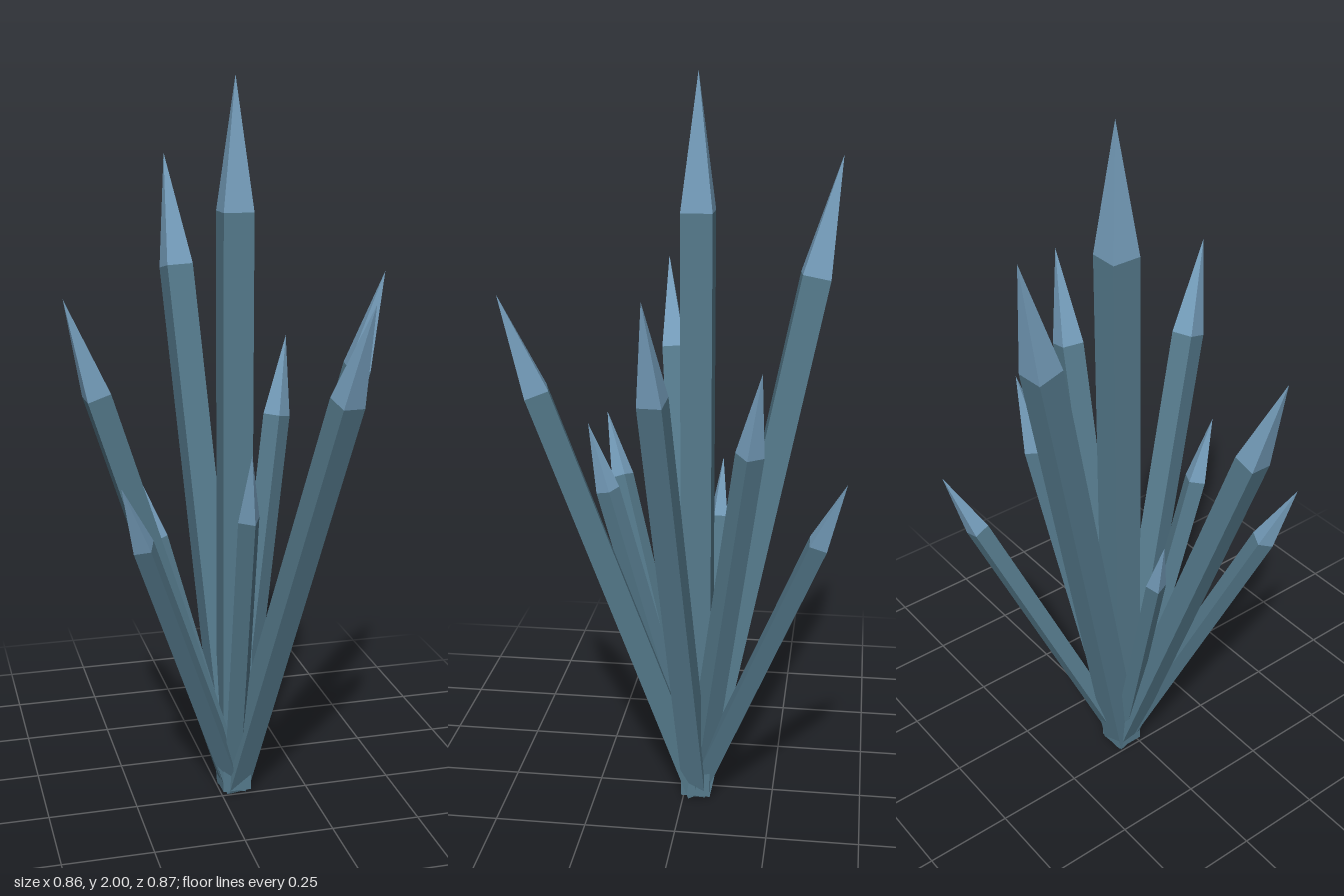
import * as THREE from 'three';

// All crystals grow from one root point and share the same proportions
const ROOT = new THREE.Vector3(0.043, 0.01, -0.036);
const WIDTH = 0.0412;   // side of the square section per unit of length
const SHAFT = 0.827;    // share of the length taken by the shaft

// Tip position of each crystal and its twist about its own axis (degrees)
const CRYSTALS = [
  ['centralCrystal', 0.043, 2.0, -0.036, 0],
  ['tallBackCrystal', -0.07, 1.79, -0.395, 6],
  ['lowBackLeftCrystal', 0.29, 1.03, -0.437, 5],
  ['leftCrystal', 0.43, 1.5, 0.05, -8],
  ['frontLeftCrystal', 0.265, 1.475, 0.435, 16],
  ['frontRightCrystal', -0.325, 1.02, 0.275, -22],
  ['rightCrystal', -0.432, 1.465, 0.105, 4],
  ['shortRightCrystal', -0.208, 0.93, -0.08, 20],
  ['backLeftCrystal', 0.24, 1.29, -0.22, 40],
  ['shortFrontCrystal', 0.01, 1.08, 0.265, -28],
];

export function createModel() {
  const group = new THREE.Group();
  group.name = 'crystalCluster';
  const shaftMat = new THREE.MeshStandardMaterial({ color: 0x557a8c });
  shaftMat.name = 'deep slate blue';
  const tipMat = new THREE.MeshStandardMaterial({ color: 0x769fbd });
  tipMat.name = 'pale slate blue';

  // Unit-length crystal: square prism with a four-sided point
  const shaftGeo = new THREE.BoxGeometry(WIDTH, SHAFT, WIDTH).translate(0, SHAFT / 2, 0);
  const tipLength = 1 - SHAFT;
  const tipGeo = new THREE.ConeGeometry(WIDTH * Math.SQRT1_2, tipLength, 4, 1, true, Math.PI / 4)
    .translate(0, SHAFT + tipLength / 2, 0)
    .toNonIndexed();
  tipGeo.computeVertexNormals(); // hard facets

  const up = new THREE.Vector3(0, 1, 0);
  for (const [name, x, y, z, twist] of CRYSTALS) {
    const axis = new THREE.Vector3(x, y, z).sub(ROOT);
    const length = axis.length();
    const crystal = new THREE.Group();
    crystal.name = name;
    crystal.position.copy(ROOT);
    crystal.quaternion.setFromUnitVectors(up, axis.normalize());
    crystal.rotateY(THREE.MathUtils.degToRad(twist));
    crystal.scale.setScalar(length);

    const shaft = new THREE.Mesh(shaftGeo, shaftMat);
    shaft.name = 'shaft';
    const tip = new THREE.Mesh(tipGeo, tipMat);
    tip.name = 'tip';
    crystal.add(shaft, tip);
    group.add(crystal);
  }
  return group;
}
